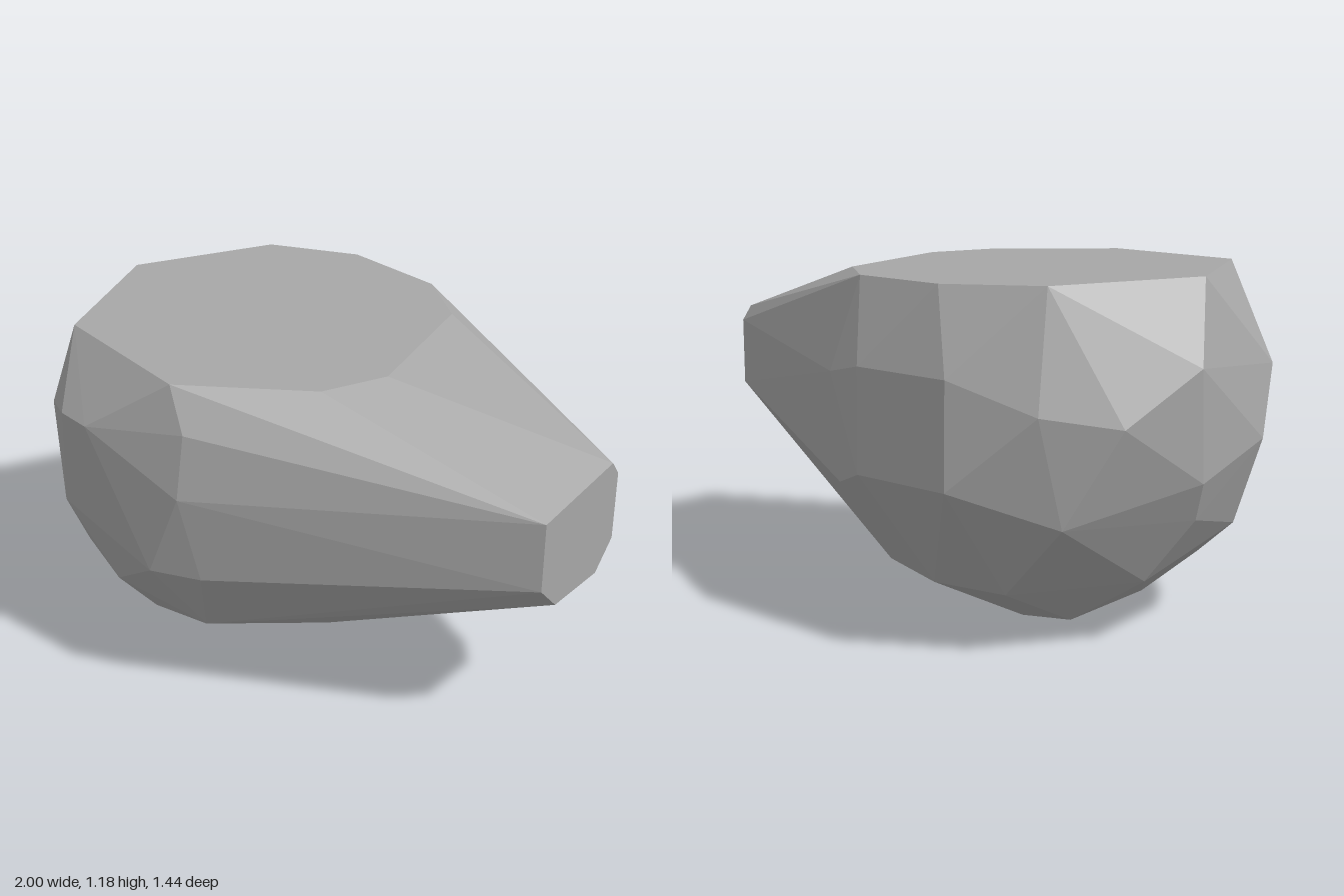
import * as THREE from 'three';
import { ConvexGeometry } from 'three/addons/geometries/ConvexGeometry.js';

// Faceted boulder: a rounded belly, a flat top and a tapered, cut-off snout.
export function createModel() {
  const stone = new THREE.MeshStandardMaterial({ color: 0xa6a6a6 });
  stone.name = 'stone grey';

  // snout end, as (y, z) at x = 1
  const snout = [[0.885, 0.21], [0.935, -0.17], [0.885, -0.21], [0.65, -0.21],
    [0.56, -0.12], [0.56, 0.12], [0.65, 0.21]];

  // rim of the flat top, as (x, z) on a slightly tilted plane
  const rim = [[-0.91, -0.02], [-0.68, -0.5], [-0.37, -0.63], [0.01, -0.575], [0.22, -0.4],
    [0.355, 0.14], [0.265, 0.36], [-0.12, 0.625], [-0.68, 0.5]];

  // front half of the belly, from high to low
  const bellyFront = [
    [-0.03, 1.03, 0.67], [-0.42, 0.96, 0.72], [-0.56, 0.955, 0.69], [-0.72, 0.91, 0.585],
    [-0.95, 0.87, 0.33], [-0.03, 0.82, 0.71], [-1, 0.65, 0.2], [-0.6, 0.61, 0.67],
    [-0.86, 0.61, 0.44], [-0.16, 0.52, 0.72], [0.01, 0.52, 0.66], [-0.41, 0.35, 0.63],
    [-0.68, 0.35, 0.51], [-0.89, 0.35, 0.22], [-0.11, 0.23, 0.52], [-0.38, 0.18, 0.49],
    [-0.67, 0.18, 0.36], [0.055, 0.07, 0.07], [-0.55, 0.05, 0.2], [-0.31, 0, 0.19],
  ];

  // back half of the belly, from high to low
  const bellyBack = [
    [-1, 0.92, -0.16], [-0.47, 0.9, -0.715], [-0.11, 0.9, -0.715], [0.06, 0.86, -0.665],
    [-0.72, 0.8, -0.59], [-0.9, 0.76, -0.41], [-1, 0.565, -0.14], [-0.47, 0.56, -0.72],
    [-0.11, 0.56, -0.72], [0.04, 0.5, -0.65], [-0.75, 0.45, -0.51], [-0.95, 0.435, -0.1],
    [-0.8, 0.22, -0.15], [0.02, 0.2, -0.44], [-0.22, 0.18, -0.49], [-0.5, 0.19, -0.47],
    [0.055, 0.065, -0.18], [-0.55, 0.05, -0.2], [-0.31, 0, -0.15],
  ];

  const points = [
    ...snout.map(([y, z]) => new THREE.Vector3(1, y, z)),
    ...rim.map(([x, z]) => new THREE.Vector3(x, 1.16 - 0.017 * x, z)),
    ...[...bellyFront, ...bellyBack].map((p) => new THREE.Vector3(...p)),
  ];

  const boulder = new THREE.Mesh(new ConvexGeometry(points), stone);
  boulder.name = 'boulder';

  const model = new THREE.Group();
  model.name = 'rock';
  model.add(boulder);
  return model;
}
